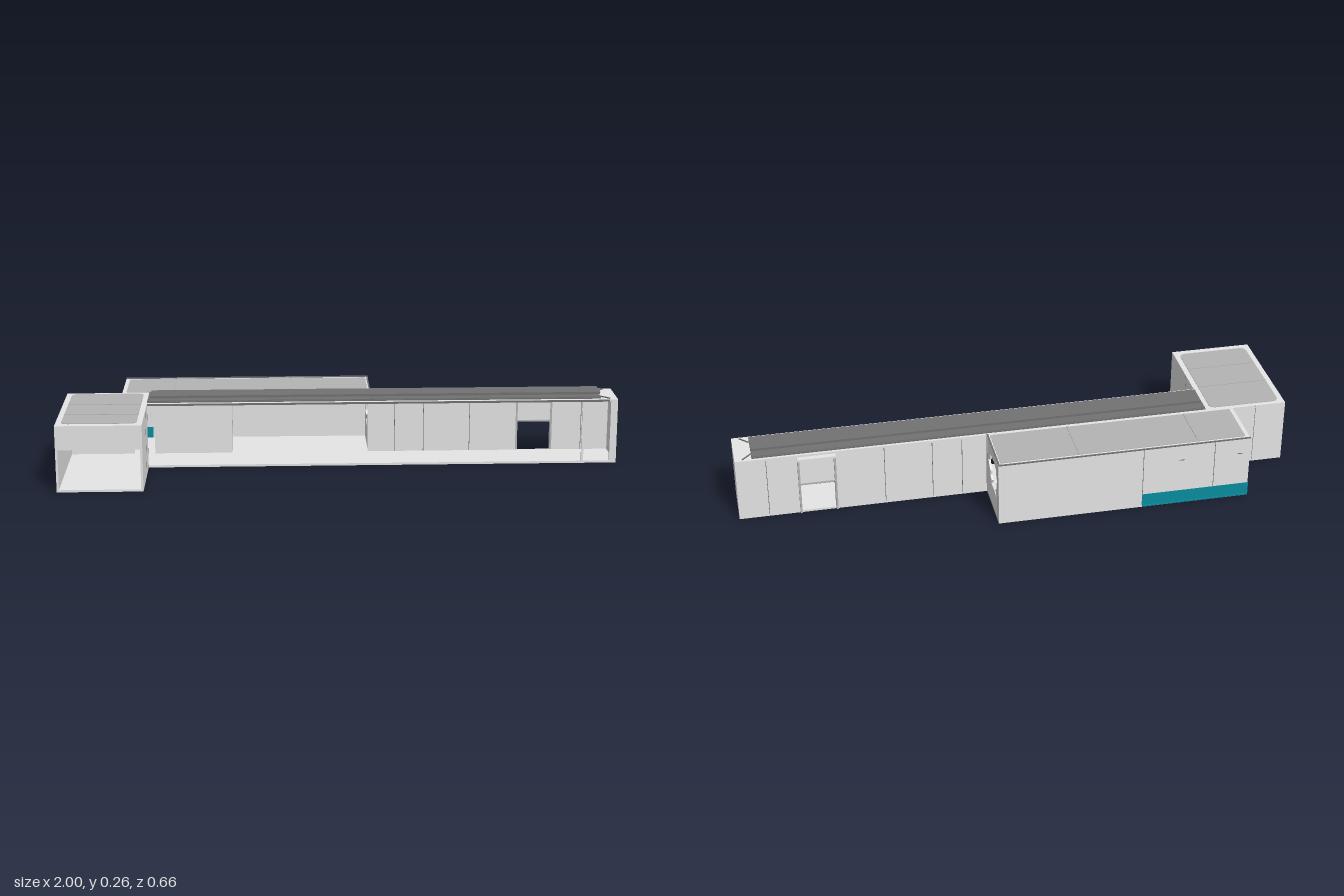
import * as THREE from 'three';

const mat = (name, color) => {
  const m = new THREE.MeshStandardMaterial({ color });
  m.name = name;
  return m;
};

export function createModel() {
  const wall = mat('light grey wall', 0xe5e5e5);
  const pale = mat('pale broken wall', 0xf2f2f2);
  const panel = mat('mid grey panel', 0xb4b4b4);
  const dark = mat('dark grey roof', 0x727272);
  const teal = mat('teal stripe', 0x088c9e);
  const root = new THREE.Group();

  const group = (name) => {
    const g = new THREE.Group();
    g.name = name;
    root.add(g);
    return g;
  };
  // Box from its limits along x, y and z
  const box = (parent, name, m, x0, x1, y0, y1, z0, z1) => {
    const mesh = new THREE.Mesh(new THREE.BoxGeometry(x1 - x0, y1 - y0, z1 - z0), m);
    mesh.position.set((x0 + x1) / 2, (y0 + y1) / 2, (z0 + z1) / 2);
    mesh.name = name;
    parent.add(mesh);
    return mesh;
  };
  // Thin flat roof panel with rounded corners
  const roofPanel = (parent, x0, x1, z0, z1, y, r) => {
    const s = new THREE.Shape();
    s.moveTo(x0 + r, -z1);
    s.lineTo(x1 - r, -z1);
    s.quadraticCurveTo(x1, -z1, x1, -z1 + r);
    s.lineTo(x1, -z0 - r);
    s.quadraticCurveTo(x1, -z0, x1 - r, -z0);
    s.lineTo(x0 + r, -z0);
    s.quadraticCurveTo(x0, -z0, x0, -z0 - r);
    s.lineTo(x0, -z1 + r);
    s.quadraticCurveTo(x0, -z1, x0 + r, -z1);
    const g = new THREE.ExtrudeGeometry(s, { depth: 0.002, bevelEnabled: false, curveSegments: 5 });
    g.rotateX(-Math.PI / 2);
    const mesh = new THREE.Mesh(g, panel);
    mesh.position.y = y;
    mesh.name = 'roofPanel';
    parent.add(mesh);
  };
  const T = 0.008, H = 0.238;

  // Entrance block, open at the front
  const block = group('entranceBlock');
  box(block, 'floor', wall, -1, -0.7, 0, 0.008, -0.115, 0.33);
  box(block, 'ceiling', wall, -1, -0.7, H - 0.006, H, -0.115, 0.33);
  box(block, 'outerWall', wall, -1, -1 + T, 0.008, H - 0.006, -0.115, 0.33);
  box(block, 'innerWall', wall, -0.7 - T, -0.7, 0.008, H - 0.006, 0.045, 0.33);
  box(block, 'backWall', wall, -1 + T, -0.76, 0.008, H - 0.006, -0.115, -0.107);
  box(block, 'backLintel', wall, -0.76, -0.7, 0.125, H - 0.006, -0.115, -0.107);
  box(block, 'frontLintel', wall, -1 + T, -0.7 - T, 0.152, H - 0.006, 0.322, 0.33);
  for (const z of [0.05, 0.145]) box(block, 'wallSeam', dark, -0.701, -0.6995, 0.008, H, z - 0.0008, z + 0.0008);
  box(block, 'backSeam', dark, -0.888, -0.8865, 0.008, H, -0.1155, -0.114);
  roofPanel(block, -0.98, -0.72, -0.098, 0.305, H, 0.025);
  for (const z of [0.054, 0.189]) box(block, 'roofRib', panel, -0.98, -0.72, H, H + 0.004, z - 0.004, z + 0.004);

  // Long corridor, open along the front
  const hall = group('corridor');
  box(hall, 'floor', wall, -0.7, 1, 0, 0.008, -0.115, 0.045);
  box(hall, 'ceiling', wall, -0.7, 1, H - 0.008, H, -0.115, 0.045);
  box(hall, 'endWall', wall, 1 - T, 1, 0.008, H - 0.008, -0.115, 0.045);
  box(hall, 'backWall', wall, 0.1, 0.65, 0.008, H - 0.008, -0.115, -0.107);
  box(hall, 'backWallEnd', wall, 0.785, 1 - T, 0.008, H - 0.008, -0.115, -0.107);
  for (const x of [0.2, 0.307, 0.478, 0.893]) {
    box(hall, 'wallSeam', dark, x - 0.001, x + 0.001, 0.008, H - 0.008, -0.1155, -0.1065);
  }
  box(hall, 'frontPost', wall, 0.872, 0.88, 0.008, H - 0.008, 0.037, 0.045);
  box(hall, 'cornerPost', wall, 0.975, 1 - T, 0.008, H - 0.008, 0.037, 0.045);

  // Half-raised rear door and its frame
  const door = group('rearDoor');
  box(door, 'doorLeaf', wall, 0.65, 0.785, 0.12, H - 0.008, -0.117, -0.109);
  box(door, 'doorEdge', panel, 0.655, 0.78, 0.116, 0.122, -0.12, -0.107);
  for (const x of [0.65, 0.778]) box(door, 'doorJamb', panel, x, x + 0.007, 0.004, 0.228, -0.128, -0.107);
  box(door, 'doorHead', wall, 0.65, 0.785, 0.222, 0.23, -0.134, -0.107);

  // Dark stepped roof with a raised strip and mitred end
  const roof = group('corridorRoof');
  box(roof, 'roofPlate', dark, -0.7, 0.94, H, 0.243, -0.105, 0.032);
  box(roof, 'roofStrip', dark, -0.69, 0.94, 0.249, 0.258, -0.073, 0.01);
  box(roof, 'roofFascia', dark, -0.7, 0.97, 0.23, 0.2375, 0.04, 0.0455);
  for (const z of [-0.097, 0.024]) box(roof, 'roofRail', dark, -0.7, 0.94, 0.243, 0.245, z - 0.004, z + 0.004);
  for (const s of [-1, 1]) {
    const brace = box(roof, 'roofMitre', dark, -0.022, 0.022, 0, 0.004, -0.0015, 0.0015);
    brace.position.set(0.957, 0.24, -0.036 + s * 0.055);
    brace.rotation.y = -s * Math.PI / 4;
  }

  // Back room
  const room = group('backRoom');
  box(room, 'floor', wall, -0.8, 0.11, 0, 0.008, -0.328, -0.115);
  box(room, 'ceiling', wall, -0.8, 0.11, H - 0.006, H, -0.328, -0.115);
  box(room, 'backWall', wall, -0.8, 0.102, 0.008, H - 0.006, -0.328, -0.32);
  box(room, 'sideWall', wall, -0.8, -0.8 + T, 0.008, H - 0.006, -0.32, -0.115);
  roofPanel(room, -0.785, 0.1, -0.31, -0.122, H, 0.006);
  for (const x of [-0.614, -0.182]) box(room, 'roofRib', panel, x - 0.004, x + 0.004, H, H + 0.004, -0.308, -0.122);
  box(room, 'roofEdge', dark, -0.8, 0.11, H, H + 0.004, -0.328, -0.323);
  box(room, 'roofEdge', dark, 0.105, 0.11, H, H + 0.004, -0.323, -0.115);
  for (const x of [-0.41, -0.67]) box(room, 'wallSeam', dark, x - 0.001, x + 0.001, 0.008, H, -0.3285, -0.327);
  for (const x of [-0.765, -0.55]) box(room, 'wallVent', dark, x - 0.01, x + 0.01, 0.178, 0.181, -0.3285, -0.327);

  // Teal stripe along the room's corner, outside and inside
  box(room, 'stripeBack', teal, -0.801, -0.41, 0.003, 0.053, -0.329, -0.327);
  box(room, 'stripeLip', teal, -0.801, -0.41, 0.003, 0.008, -0.332, -0.329);
  box(room, 'stripeSide', teal, -0.802, -0.799, 0.003, 0.053, -0.329, -0.116);
  box(room, 'stripeSideInside', teal, -0.793, -0.79, 0.009, 0.05, -0.32, -0.118);
  for (const [x0, x1] of [[-0.79, -0.704], [-0.685, -0.41]]) {
    box(room, 'stripeBackInside', teal, x0, x1, 0.009, 0.05, -0.321, -0.318);
  }

  // Inner partition block, its corner post and a low counter
  box(room, 'partition', wall, -0.685, -0.4, 0.008, H - 0.008, -0.208, -0.108);
  box(room, 'partitionPost', panel, -0.415, -0.4, 0.008, H - 0.008, -0.22, -0.208);
  box(room, 'counter', wall, -0.6, -0.5, 0.008, 0.12, -0.31, -0.208);

  // Broken end wall with a jagged hole; shape runs along -z and y
  const shape = new THREE.Shape();
  shape.moveTo(0.115, 0.008);
  shape.lineTo(0.328, 0.008);
  shape.lineTo(0.328, 0.24);
  shape.lineTo(0.115, 0.24);
  shape.closePath();
  const hole = new THREE.Path([
    [0.145, 0.155], [0.168, 0.168], [0.175, 0.195], [0.198, 0.2], [0.205, 0.21], [0.218, 0.2],
    [0.236, 0.201], [0.246, 0.218], [0.25, 0.202], [0.28, 0.193], [0.285, 0.172], [0.303, 0.155],
    [0.285, 0.142], [0.287, 0.12], [0.268, 0.105], [0.29, 0.084], [0.25, 0.09], [0.225, 0.087],
    [0.192, 0.084], [0.2, 0.1], [0.178, 0.11], [0.18, 0.128], [0.16, 0.138],
  ].map(([a, b]) => new THREE.Vector2(a, b)));
  shape.holes.push(hole);
  const geo = new THREE.ExtrudeGeometry(shape, { depth: T, bevelEnabled: false });
  geo.rotateY(Math.PI / 2);
  const broken = new THREE.Mesh(geo, pale);
  broken.position.x = 0.102;
  broken.name = 'brokenEndWall';
  room.add(broken);
  // Frame strips around the broken wall
  for (const [z0, z1] of [[-0.13, -0.116], [-0.328, -0.312]]) {
    box(room, 'endFrame', panel, 0.109, 0.1115, 0.008, H, z0, z1);
  }
  box(room, 'endSill', dark, 0.109, 0.1115, 0.003, 0.008, -0.328, -0.13);

  return root;
}
